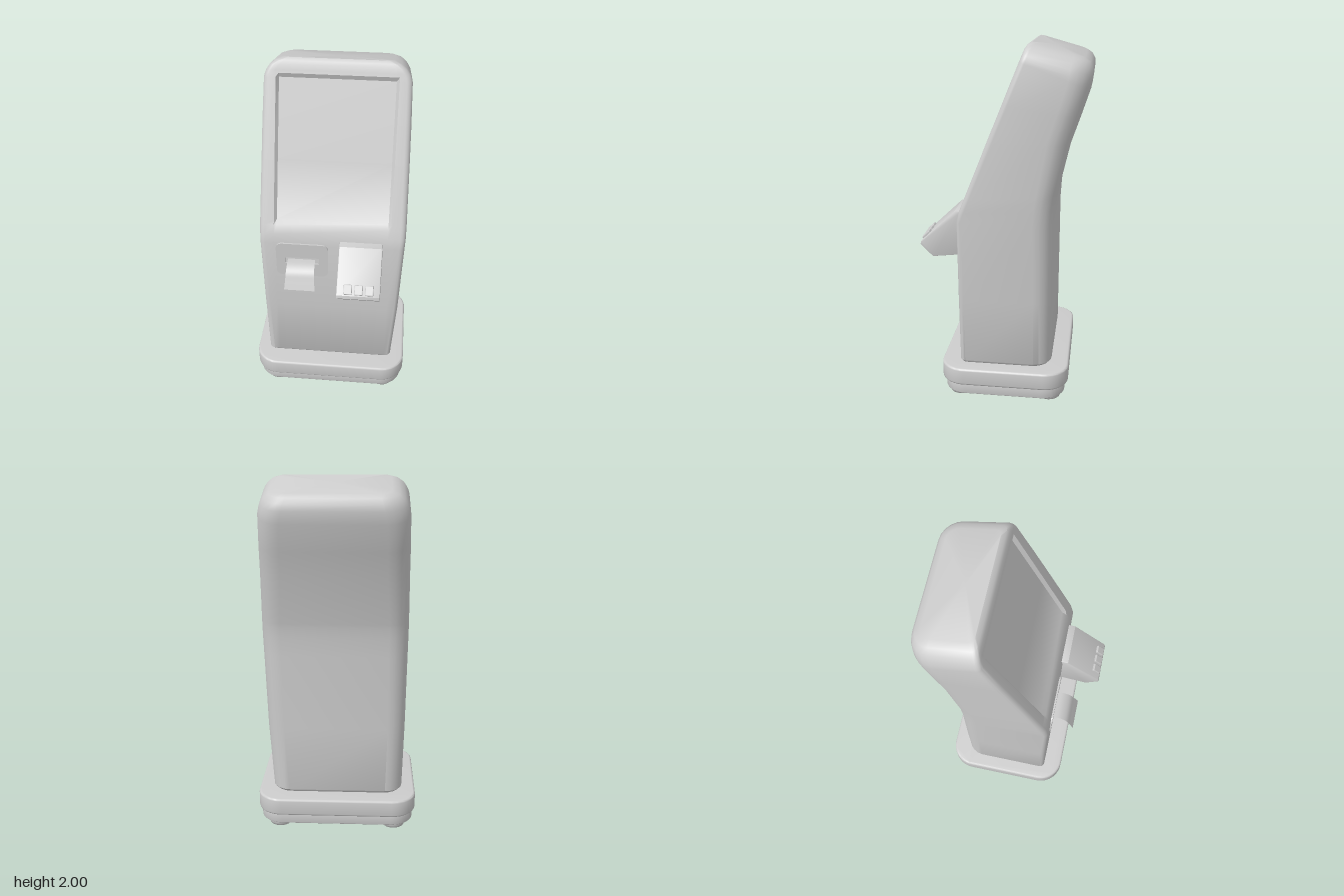
import * as THREE from 'three';
import { toCreasedNormals } from 'three/addons/utils/BufferGeometryUtils.js';
import { RoundedBoxGeometry } from 'three/addons/geometries/RoundedBoxGeometry.js';

const grey = new THREE.MeshStandardMaterial({ color: 0xcccccc });
grey.name = 'lightGrey';
const greySheet = grey.clone();
greySheet.name = 'lightGreySheet';
greySheet.side = THREE.DoubleSide;

function part(name, geometry, material = grey) {
  const mesh = new THREE.Mesh(geometry, material);
  mesh.name = name;
  return mesh;
}

function roundedRect(w, h, r, Type = THREE.Shape) {
  const s = new Type(), x = w / 2, y = h / 2;
  s.moveTo(-x + r, -y);
  s.lineTo(x - r, -y).absarc(x - r, -y + r, r, -Math.PI / 2, 0);
  s.lineTo(x, y - r).absarc(x - r, y - r, r, 0, Math.PI / 2);
  s.lineTo(-x + r, y).absarc(-x + r, y - r, r, Math.PI / 2, Math.PI);
  s.lineTo(-x, -y + r).absarc(-x + r, -y + r, r, Math.PI, Math.PI * 1.5);
  return s;
}

// Horizontal slab with rounded corners and softened edges
function slab(w, d, r, y0, y1, bevel) {
  const g = new THREE.ExtrudeGeometry(roundedRect(w - 2 * bevel, d - 2 * bevel, r - bevel), {
    depth: y1 - y0 - 2 * bevel, bevelSize: bevel, bevelThickness: bevel, bevelSegments: 3, curveSegments: 6,
  });
  g.rotateX(-Math.PI / 2).translate(0, y0 + bevel, 0);
  return toCreasedNormals(g, 0.6);
}

// One cross-section of the cabinet, running right, back, left, then along the recessed front
function cabinetRing([fz, fy, bz, by, xl, xr, rf, rb, depth]) {
  const len = Math.hypot(bz - fz, by - fy), n = 5, flat = [];
  const arc = k => (k / n) * Math.PI / 2;
  for (let k = 0; k <= n; k++) flat.push([xr - rf + rf * Math.sin(arc(k)), rf - rf * Math.cos(arc(k))]);
  for (let k = 0; k <= n; k++) flat.push([xr - rb + rb * Math.cos(arc(k)), len - rb + rb * Math.sin(arc(k))]);
  for (let k = n; k >= 0; k--) flat.push([xl + rb - rb * Math.cos(arc(k)), len - rb + rb * Math.sin(arc(k))]);
  for (let k = n; k >= 0; k--) flat.push([xl + rf - rf * Math.sin(arc(k)), rf - rf * Math.cos(arc(k))]);
  const left = Math.max(-0.315, xl + rf + 0.005), right = Math.min(0.335, xr - rf - 0.005);
  flat.push([left, 0], [left + 0.015, depth], [right - 0.015, depth], [right, 0]);
  return flat.map(([x, d]) => [x, fy + (by - fy) * d / len, fz + (bz - fz) * d / len]);
}

function loft(rings) {
  const pos = [], index = [], n = rings[0].length;
  rings.forEach(r => r.forEach(p => pos.push(...p)));
  for (let j = 0; j < rings.length - 1; j++) {
    for (let i = 0; i < n; i++) {
      const a = j * n + i, b = j * n + (i + 1) % n;
      index.push(a, b, b + n, a, b + n, a + n);
    }
  }
  // End caps
  [0, rings.length - 1].forEach((j, top) => {
    const c = pos.length / 3;
    pos.push(...[0, 1, 2].map(k => rings[j].reduce((s, p) => s + p[k], 0) / n));
    for (let i = 0; i < n; i++) {
      const a = j * n + i, b = j * n + (i + 1) % n;
      index.push(c, ...(top ? [a, b] : [b, a]));
    }
  });
  const g = new THREE.BufferGeometry();
  g.setAttribute('position', new THREE.Float32BufferAttribute(pos, 3));
  g.setIndex(index);
  return toCreasedNormals(g, 0.6);
}

function createCabinet() {
  // front z, front y, back z, back y, left edge, right edge, front radius, back radius, recess depth
  const sections = [
    [0.23, 0.2, -0.27, 0.2, -0.37, 0.365, 0.03, 0.1, 0],
    [0.24, 0.215, -0.28, 0.215, -0.38, 0.375, 0.03, 0.1, 0],
    [0.24, 0.6, -0.28, 0.6, -0.389, 0.4, 0.03, 0.1, 0],
    [0.24, 1.06, -0.281, 1.03, -0.395, 0.416, 0.03, 0.11, 0],
    [0.226, 1.115, -0.287, 1.14, -0.396, 0.419, 0.03, 0.11, 0],
    [0.206, 1.165, -0.294, 1.2, -0.396, 0.419, 0.03, 0.11, 0],
    [0.198, 1.185, -0.298, 1.22, -0.396, 0.419, 0.03, 0.11, 0.018],
    [0.0715, 1.5, -0.36, 1.49, -0.391, 0.414, 0.03, 0.12, 0.018],
    [-0.009, 1.7, -0.408, 1.63, -0.388, 0.41, 0.03, 0.12, 0.018],
    [-0.094, 1.91, -0.455, 1.775, -0.382, 0.403, 0.03, 0.12, 0.018],
    [-0.102, 1.93, -0.461, 1.805, -0.376, 0.397, 0.03, 0.12, 0],
    [-0.108, 1.945, -0.466, 1.84, -0.368, 0.389, 0.03, 0.12, 0],
    [-0.117, 1.97, -0.464, 1.875, -0.35, 0.37, 0.03, 0.11, 0],
    [-0.13, 1.99, -0.449, 1.905, -0.322, 0.342, 0.03, 0.09, 0],
    [-0.15, 2.0, -0.42, 1.925, -0.285, 0.305, 0.03, 0.06, 0],
  ];
  return part('cabinet', loft(sections.map(cabinetRing)));
}

function createPrinter() {
  const printer = new THREE.Group();
  printer.name = 'receiptPrinter';

  // Face plate with a slot
  const plate = roundedRect(0.295, 0.225, 0.035);
  const slot = new THREE.Path();
  slot.moveTo(-0.097, -0.025).lineTo(-0.097, 0.018).lineTo(0.097, 0.018).lineTo(0.097, -0.025);
  plate.holes.push(slot);
  const plateGeo = new THREE.ExtrudeGeometry(plate, { depth: 0.012, bevelEnabled: false });
  plateGeo.translate(-0.157, 0.953, 0.236);
  printer.add(part('printerPlate', toCreasedNormals(plateGeo, 0.6)));

  // Paper strip curling forward and down, flaring at its end
  const curl = new THREE.CatmullRomCurve3([[0.955, 0.235], [0.95, 0.285], [0.925, 0.325], [0.88, 0.35], [0.835, 0.372]]
    .map(([y, z]) => new THREE.Vector3(0, y, z)));
  const paper = new THREE.PlaneGeometry(1, 1, 1, 16);
  const pos = paper.attributes.position;
  for (let i = 0; i < pos.count; i++) {
    const t = 0.5 - pos.getY(i), p = curl.getPoint(t);
    pos.setXYZ(i, -0.16 + pos.getX(i) * (0.155 + 0.018 * t ** 2), p.y, p.z);
  }
  paper.computeVertexNormals();
  printer.add(part('paperReceipt', paper, greySheet));
  return printer;
}

function createCardReader() {
  const reader = new THREE.Group();
  reader.name = 'cardReader';

  // Wedge housing, drawn in side profile and extruded across
  const b = 0.006;
  const profile = new THREE.Shape([[0.236, 0.84], [0.397, 0.821], [0.463, 0.886], [0.46, 0.899], [0.268, 1.08], [0.236, 1.084]]
    .map(([z, y]) => new THREE.Vector2(-z, y)));
  const wedge = new THREE.ExtrudeGeometry(profile, {
    depth: 0.24 - 2 * b, bevelSize: b, bevelThickness: b, bevelSegments: 2,
  });
  wedge.rotateY(Math.PI / 2).translate(0.055 + b, 0, 0);
  reader.add(part('readerHousing', toCreasedNormals(wedge, 0.5)));

  // Row of keys on the sloping face
  for (const x of [0.118, 0.177, 0.236]) {
    const key = part('readerKey', new RoundedBoxGeometry(0.046, 0.056, 0.024, 2, 0.005));
    key.position.set(x, 0.926, 0.441);
    key.rotation.x = -0.8;
    reader.add(key);
  }
  return reader;
}

export function createModel() {
  const model = new THREE.Group();
  model.name = 'kiosk';
  model.add(createCabinet(), createPrinter(), createCardReader());

  // Two-step base
  const base = part('base', slab(0.915, 0.73, 0.14, 0.1, 0.2, 0.012));
  const underBase = part('underBase', slab(0.885, 0.69, 0.13, 0.04, 0.105, 0.004));
  base.position.z = underBase.position.z = -0.015;
  model.add(base, underBase);

  // Domed feet
  const footProfile = [[0, 0], [0.05, 0], [0.064, 0.008], [0.072, 0.025], [0.072, 0.045]]
    .map(([r, y]) => new THREE.Vector2(r, y));
  for (const x of [-0.33, 0.33]) {
    for (const z of [0.24, -0.27]) {
      const foot = part('foot', toCreasedNormals(new THREE.LatheGeometry(footProfile, 20), 0.7));
      foot.position.set(x, 0, z);
      model.add(foot);
    }
  }
  return model;
}
